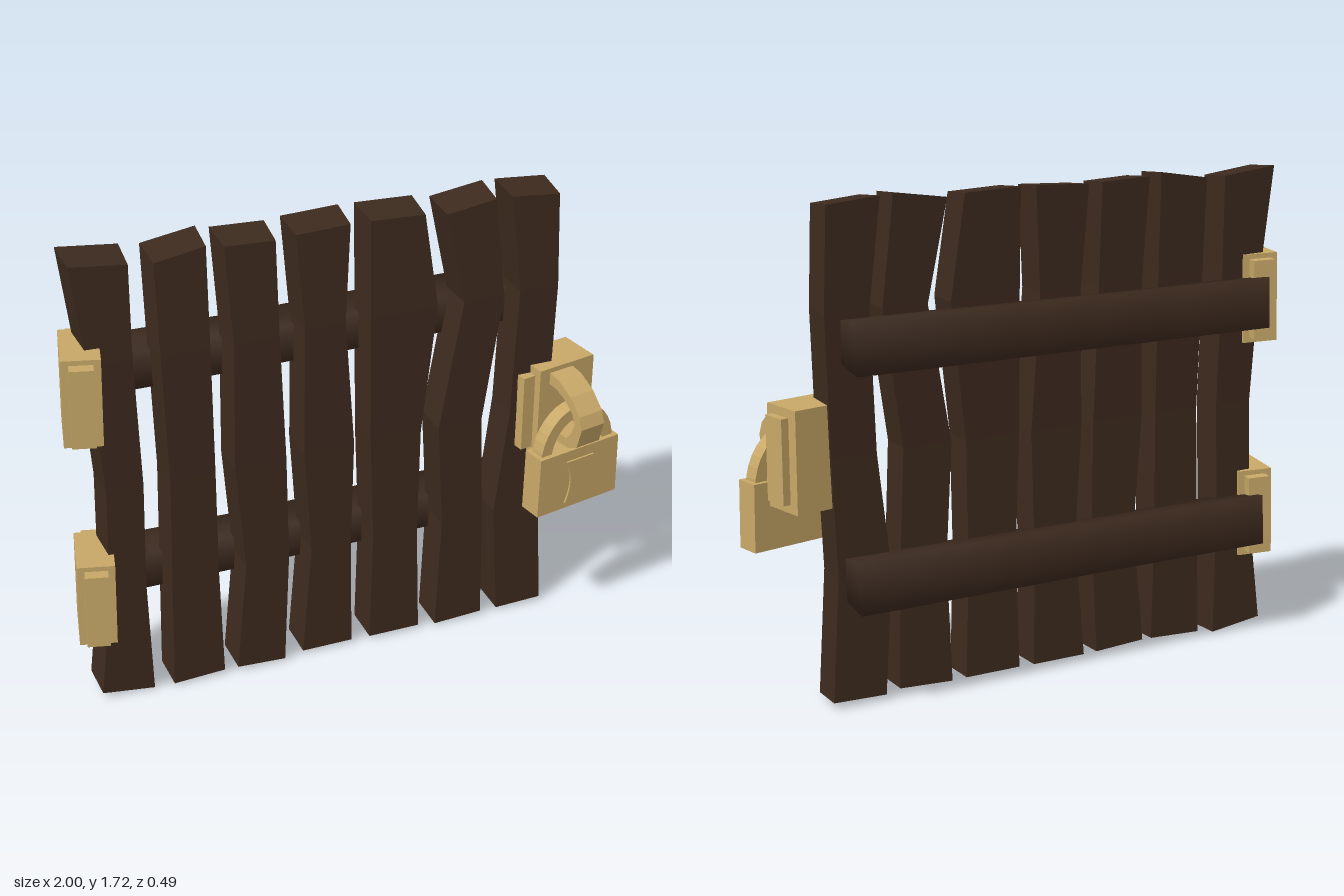
import * as THREE from 'three';

const wood = new THREE.MeshStandardMaterial({ color: 0x3d2a1e });
const brass = new THREE.MeshStandardMaterial({ color: 0xc8a868 });

// Skin a list of four-cornered sections and cap both ends
function loft(sections, flat) {
  const index = [];
  const last = (sections.length - 1) * 4;
  for (let r = 0; r < last; r += 4) {
    for (let i = 0; i < 4; i++) {
      const a = r + i, b = r + (i + 1) % 4;
      index.push(a, b, b + 4, a, b + 4, a + 4);
    }
  }
  index.push(0, 2, 1, 0, 3, 2, last, last + 1, last + 2, last, last + 2, last + 3);
  let geo = new THREE.BufferGeometry();
  geo.setAttribute('position', new THREE.Float32BufferAttribute(sections.flat(2), 3));
  geo.setIndex(index);
  if (flat) geo = geo.toNonIndexed();
  geo.computeVertexNormals();
  return geo;
}

function add(parent, name, geo, material, x = 0, y = 0, z = 0) {
  const mesh = new THREE.Mesh(geo, material);
  mesh.name = name;
  mesh.position.set(x, y, z);
  parent.add(mesh);
  return mesh;
}

// Crooked planks: left and right edge at each height, end slants, depth shift
const heights = [0.03, 0.47, 0.88, 1.36, 1.71];
const planks = [
  { edges: [[-0.92, -0.73], [-0.87, -0.74], [-0.86, -0.73], [-0.89, -0.74], [-0.93, -0.735]], low: -0.013, high: -0.012, z: -0.01 },
  { edges: [[-0.66, -0.47], [-0.65, -0.48], [-0.64, -0.48], [-0.65, -0.48], [-0.655, -0.48]], low: 0.005, high: 0.015, z: 0.005 },
  { edges: [[-0.42, -0.24], [-0.38, -0.22], [-0.41, -0.225], [-0.40, -0.24], [-0.42, -0.245]], low: -0.005, high: -0.004, z: 0.008 },
  { edges: [[-0.165, 0.025], [-0.13, 0.02], [-0.155, 0.03], [-0.145, 0.0], [-0.17, 0.02]], low: 0, high: 0.004, z: -0.005 },
  { edges: [[0.095, 0.29], [0.105, 0.275], [0.09, 0.28], [0.09, 0.335], [0.09, 0.285]], low: 0, high: -0.004, z: 0 },
  { edges: [[0.355, 0.54], [0.37, 0.53], [0.345, 0.51], [0.43, 0.58], [0.36, 0.54]], low: 0.005, high: 0.014, z: 0.008 },
  { edges: [[0.61, 0.79], [0.58, 0.76], [0.625, 0.775], [0.645, 0.79], [0.605, 0.78]], low: 0.003, high: -0.008, z: 0 },
];

function buildPlanks(parent) {
  const frontZ = [0.005, 0.01, 0.015, 0.012, 0.005];
  const backZ = [-0.13, -0.123, -0.118, -0.123, -0.132];
  planks.forEach((p, n) => {
    const sections = p.edges.map(([l, r], i) => {
      const tilt = i === 0 ? p.low : i === 4 ? p.high : 0;
      const y = heights[i], f = frontZ[i] + p.z, b = backZ[i] + p.z;
      const lift = i === 4 ? 0.012 : i === 0 ? 0.008 : 0;
      return [[l, y - tilt, f], [r, y + tilt, f],
        [r + 0.007, y + tilt + lift, b], [l - 0.007, y - tilt + lift, b]];
    });
    add(parent, 'plank' + (n + 1), loft(sections, true), wood);
  });
}

// Softly shaded cross rails on the back
function buildRail(parent, name, y) {
  const sections = [[-0.87, 0, -0.235], [-0.3, -0.003, -0.222], [0.2, 0, -0.233], [0.74, 0.002, -0.242]]
    .map(([x, dy, back]) => [[x, y + dy + 0.09, back + 0.01], [x, y + dy + 0.07, -0.09],
      [x, y + dy - 0.065, -0.09], [x, y + dy - 0.09, back]]);
  add(parent, name, loft(sections, false), wood);
}

// Hinge block with a narrower plate passing through it
function buildHinge(parent, name, y, z) {
  const hinge = new THREE.Group();
  hinge.name = name;
  hinge.position.set(-0.908, y, z);
  hinge.rotation.set(0, -0.21, -0.03);
  add(hinge, 'hingeBlock', new THREE.BoxGeometry(0.13, 0.32, 0.22), brass);
  add(hinge, 'hingePlate', new THREE.BoxGeometry(0.08, 0.285, 0.3), brass);
  parent.add(hinge);
}

function shapeFrom(points) {
  return new THREE.Shape(points.map(([x, y]) => new THREE.Vector2(x, y)));
}

function buildLock(parent) {
  const lock = new THREE.Group();
  lock.name = 'lock';
  lock.position.set(0.81, 0, -0.03);
  lock.rotation.y = 0.2;
  parent.add(lock);

  // Mounting block and its side wings
  add(lock, 'lockBlock', new THREE.BoxGeometry(0.235, 0.35, 0.16), brass, 0, 0.885, 0);
  add(lock, 'lockWings', new THREE.BoxGeometry(0.31, 0.29, 0.09), brass, -0.01, 0.885, 0.005);

  // Staple: a bent strap looping out of the block
  const strap = shapeFrom([
    [0.06, 1.045], [0.13, 1.035], [0.2, 1.0], [0.255, 0.945], [0.272, 0.9], [0.25, 0.82], [0.2, 0.795], [0.06, 0.79],
    [0.06, 0.825], [0.19, 0.83], [0.215, 0.86], [0.23, 0.905], [0.215, 0.94], [0.17, 0.975], [0.12, 0.995], [0.06, 1.0],
  ]);
  const strapGeo = new THREE.ExtrudeGeometry(strap, { depth: 0.1, bevelEnabled: false });
  strapGeo.rotateY(-Math.PI / 2);
  add(lock, 'staple', strapGeo, brass, 0.025, 0, 0);

  // Shackle: half ring with a square section
  const arch = new THREE.Shape();
  arch.absellipse(0, 0, 0.16, 0.19, 0, Math.PI, false);
  arch.absellipse(0, 0, 0.115, 0.145, Math.PI, 0, true);
  const archGeo = new THREE.ExtrudeGeometry(arch, { depth: 0.055, bevelEnabled: false, curveSegments: 8 });
  add(lock, 'shackle', archGeo, brass, -0.02, 0.755, 0.132);

  // Padlock body, slightly wider at the base
  const body = shapeFrom([[-0.178, 0.545], [0.178, 0.545], [0.174, 0.78], [-0.174, 0.78]]);
  const bodyGeo = new THREE.ExtrudeGeometry(body, { depth: 0.09, bevelEnabled: false });
  add(lock, 'padlockBody', bodyGeo, brass, -0.02, 0, 0.115);

  // Waisted keyhole panel on the padlock face
  const panel = new THREE.Shape();
  panel.moveTo(-0.06, 0.57);
  panel.lineTo(0.06, 0.57);
  panel.quadraticCurveTo(0.02, 0.655, 0.06, 0.74);
  panel.lineTo(-0.06, 0.74);
  panel.quadraticCurveTo(-0.02, 0.655, -0.06, 0.57);
  const panelGeo = new THREE.ExtrudeGeometry(panel, { depth: 0.012, bevelEnabled: false, curveSegments: 6 });
  add(lock, 'keyPanel', panelGeo, brass, -0.02, 0, 0.2);
}

export function createModel() {
  const gate = new THREE.Group();
  gate.name = 'gate';
  buildPlanks(gate);
  buildRail(gate, 'upperRail', 1.262);
  buildRail(gate, 'lowerRail', 0.46);
  buildHinge(gate, 'upperHinge', 1.265, -0.045);
  buildHinge(gate, 'lowerHinge', 0.468, -0.05);
  buildLock(gate);
  return gate;
}
